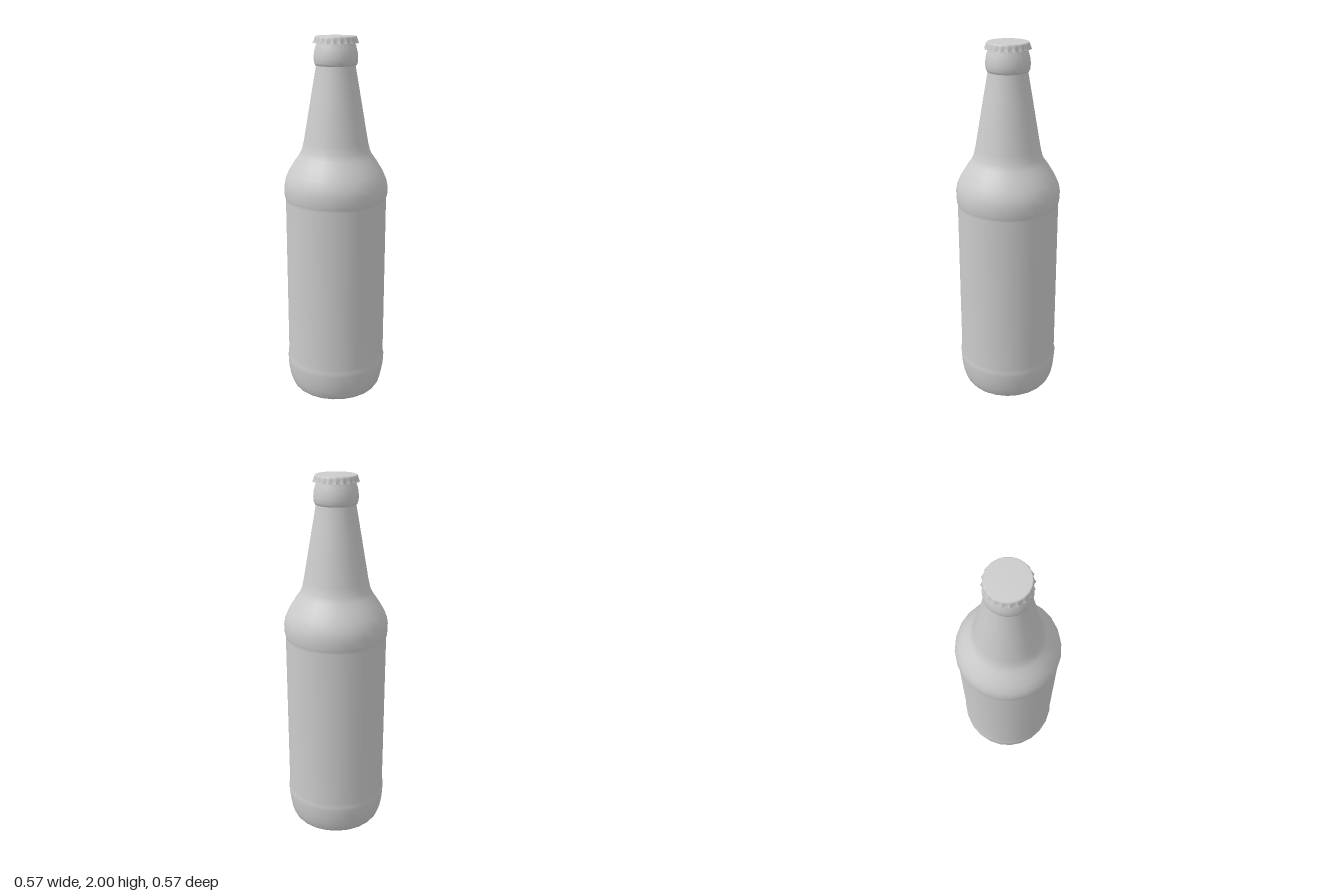
import * as THREE from 'three';
import { mergeVertices } from 'three/addons/utils/BufferGeometryUtils.js';

const TEETH = 20;

const profile = (pairs) => pairs.map(([r, y]) => new THREE.Vector2(r, y));

// Glass: hollowed base, label recess, shoulder, tapering neck, lip ring
function bottleGeometry() {
  return new THREE.LatheGeometry(profile([
    [0, 0.05], [0.1, 0.045], [0.18, 0.028], [0.215, 0.01], [0.232, 0.0],
    [0.247, 0.004], [0.258, 0.02], [0.27, 0.06], [0.279, 0.11], [0.283, 0.16],
    [0.283, 0.185], [0.278, 0.205], [0.278, 0.6], [0.278, 1.125], [0.279, 1.14],
    [0.284, 1.155], [0.285, 1.2], [0.278, 1.24], [0.259, 1.285], [0.228, 1.335],
    [0.2, 1.375], [0.185, 1.405], [0.174, 1.45], [0.153, 1.57], [0.127, 1.72],
    [0.104, 1.85], [0.109, 1.852], [0.115, 1.865], [0.117, 1.89], [0.114, 1.92],
    [0.106, 1.95], [0.1, 1.965], [0.098, 1.985], [0, 1.985],
  ]), 24);
}

// Crown cap: a lathe whose skirt is rippled more strongly towards its rim
function capGeometry() {
  const top = 2, rim = 1.963;
  const geo = new THREE.LatheGeometry(profile([
    [0.117, rim], [0.1145, 1.972], [0.1125, 1.981], [0.111, 1.99],
    [0.1085, 1.997], [0.104, top], [0, top],
  ]), TEETH * 6);
  const p = geo.attributes.position;
  for (let i = 0; i < p.count; i++) {
    const x = p.getX(i), y = p.getY(i), z = p.getZ(i);
    const r = Math.hypot(x, z);
    if (r < 0.106) continue;
    const depth = Math.max(0, (1.995 - y) / (1.995 - rim));
    const wave = 1 - 2 * Math.abs(Math.sin(TEETH / 2 * Math.atan2(x, z)));
    const s = (r + 0.005 * depth * wave) / r;
    p.setXYZ(i, x * s, y + 0.003 * depth * depth * (1 - wave) / 2, z * s);
  }
  geo.deleteAttribute('uv');
  geo.deleteAttribute('normal');
  const merged = mergeVertices(geo, 1e-5);
  merged.computeVertexNormals();
  return merged;
}

export function createModel() {
  const group = new THREE.Group();
  group.name = 'bottle';

  const add = (name, geometry, side) => {
    const mesh = new THREE.Mesh(geometry, new THREE.MeshStandardMaterial({ color: 0xcccccc, side }));
    mesh.name = name;
    group.add(mesh);
  };

  add('bottleBody', bottleGeometry(), THREE.FrontSide);
  add('crownCap', capGeometry(), THREE.DoubleSide);
  return group;
}
